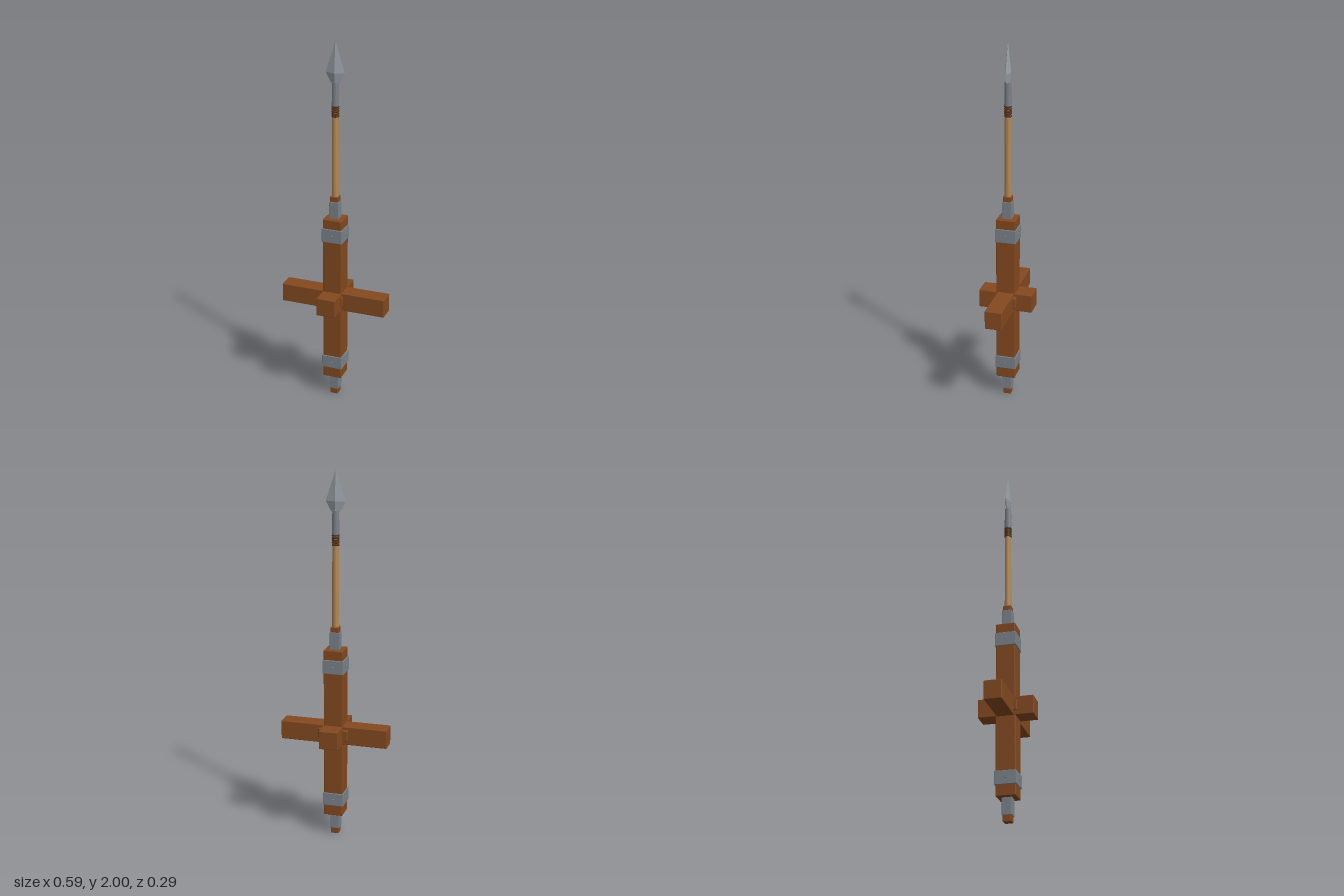
import * as THREE from 'three';
import { RoundedBoxGeometry } from 'three/addons/geometries/RoundedBoxGeometry.js';

const mat = (name, color, flatShading = false) => {
  const m = new THREE.MeshStandardMaterial({ color, flatShading });
  m.name = name;
  return m;
};

export function createModel() {
  const model = new THREE.Group();
  model.name = 'spearPost';
  const wood = mat('brown wood', 0x84491f);
  const steel = mat('grey iron', 0x7a828a);
  const blade = mat('blade steel', 0x98a0a6, true);
  const pale = mat('pale wood', 0xb58a55);
  const cord = mat('dark binding', 0x56351a);

  const add = (name, geometry, material, x, y, z) => {
    const mesh = new THREE.Mesh(geometry, material);
    mesh.name = name;
    mesh.position.set(x, y, z);
    model.add(mesh);
    return mesh;
  };
  // Softly bevelled block between two heights
  const block = (name, w, y0, y1, d, material, x = 0, z = 0, r = 0.004) =>
    add(name, new RoundedBoxGeometry(w, y1 - y0, d, 2, r), material, x, (y0 + y1) / 2, z);
  const rod = (name, rTop, rBottom, y0, y1, sides, material) =>
    add(name, new THREE.CylinderGeometry(rTop, rBottom, y1 - y0, sides), material, 0, (y0 + y1) / 2, 0);

  // Post with crossing beams
  block('post', 0.104, 0.122, 1.06, 0.104, wood);
  block('sideBeam', 0.586, 0.54, 0.642, 0.092, wood, 0, -0.001);
  block('depthBeam', 0.104, 0.541, 0.641, 0.293, wood, 0, 0, 0.003);

  // Wedges that lock the joint
  block('backWedge', 0.162, 0.565, 0.625, 0.026, wood, 0, -0.049);
  block('frontWedge', 0.12, 0.565, 0.625, 0.026, wood, 0, 0.047);

  // Iron bands with a rivet on each face
  for (const [y0, y1] of [[0.18, 0.252], [0.932, 1.008]]) {
    block('ironBand', 0.114, y0, y1, 0.114, steel, 0, 0, 0.003);
    for (let i = 0; i < 4; i++) {
      const a = i * Math.PI / 2;
      add('rivet', new THREE.SphereGeometry(0.005, 8, 6), steel,
        Math.sin(a) * 0.057, (y0 + y1) / 2, Math.cos(a) * 0.057);
    }
  }

  // Tenons and their iron ferrules at both ends
  block('lowerTenon', 0.044, 0, 0.13, 0.044, wood, 0, 0, 0.003);
  block('upperTenon', 0.044, 1.05, 1.18, 0.044, wood, 0, 0, 0.003);
  block('lowerFerrule', 0.052, 0.033, 0.124, 0.052, steel, 0, 0, 0.002);
  block('upperFerrule', 0.052, 1.058, 1.152, 0.052, steel, 0, 0, 0.002);

  // Shaft, cord binding and socket
  rod('shaft', 0.0175, 0.0185, 1.17, 1.68, 10, pale);
  for (let i = 0; i < 5; i++) {
    const ring = add('bindingRing', new THREE.TorusGeometry(0.0145, 0.0065, 6, 14), cord, 0, 1.615 + i * 0.0122, 0);
    ring.rotation.x = Math.PI / 2;
  }
  rod('socket', 0.018, 0.02, 1.668, 1.79, 8, steel);

  // Diamond-section blade, widest low down
  const head = new THREE.Group();
  head.name = 'spearhead';
  head.scale.z = 0.32;
  for (const [top, bottom, y0, y1] of [[0.052, 0.024, 1.785, 1.838], [0, 0.052, 1.838, 2]]) {
    const part = new THREE.Mesh(new THREE.CylinderGeometry(top, bottom, y1 - y0, 4, 1, top === 0), blade);
    part.name = 'blade';
    part.position.y = (y0 + y1) / 2;
    head.add(part);
  }
  model.add(head);
  return model;
}
